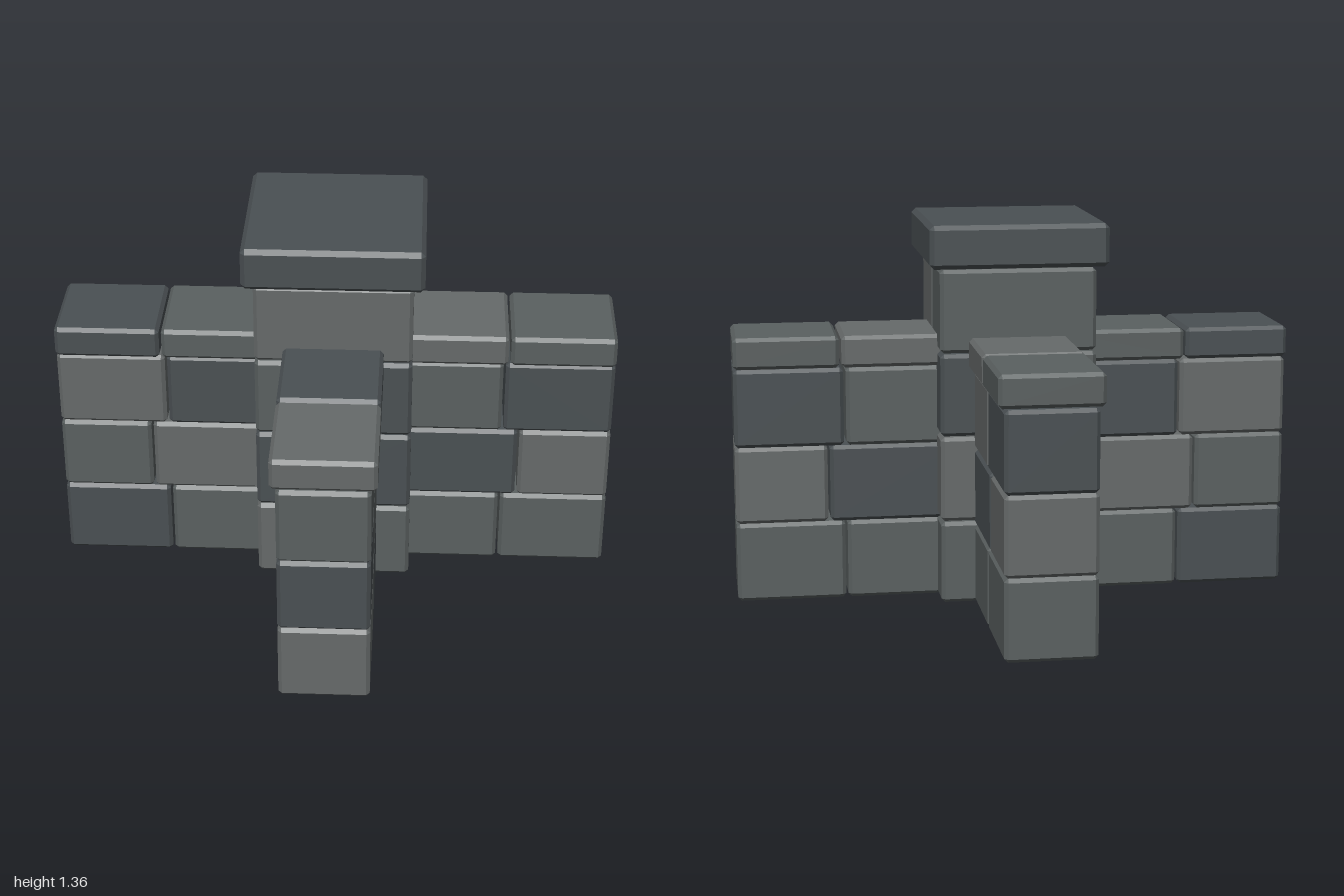
import * as THREE from 'three';
import { ConvexGeometry } from 'three/addons/geometries/ConvexGeometry.js';

const stone = (color) => new THREE.MeshStandardMaterial({ color, flatShading: true });
const MATERIALS = { L: stone(0x666a6a), M: stone(0x5a6060), D: stone(0x4a5053) };

// Block with chamfered edges, spanning min to max
function block(name, tone, min, max, bevel = 0.013) {
  const c = min.map((v, i) => (v + max[i]) / 2);
  const h = min.map((v, i) => (max[i] - v) / 2);
  const points = [];
  for (let axis = 0; axis < 3; axis++)
    for (const sx of [-1, 1]) for (const sy of [-1, 1]) for (const sz of [-1, 1]) {
      const p = [sx, sy, sz].map((s, i) => s * (h[i] - (i === axis ? 0 : bevel)));
      points.push(new THREE.Vector3(...p));
    }
  const mesh = new THREE.Mesh(new ConvexGeometry(points), MATERIALS[tone]);
  mesh.name = name;
  mesh.position.set(...c);
  return mesh;
}

// Courses of a wall arm: bottom, top, joint position, half thickness
const COURSES = [
  [0, 0.285, 0.607, 0.157],
  [0.285, 0.562, 0.667, 0.157],
  [0.562, 0.843, 0.607, 0.157],
  [0.847, 0.96, 0.622, 0.177],
];

// Wall arm along +x; tones list [outer, inner] for each course
function wallArm(name, tones, angle) {
  const arm = new THREE.Group();
  arm.name = name;
  COURSES.forEach(([y0, y1, joint, t], i) => {
    const part = i === 3 ? 'copingStone' : 'wallBrick';
    arm.add(block(part, tones[i][0], [joint + 0.004, y0, -t], [1, y1, t]));
    arm.add(block(part, tones[i][1], [0.2, y0, -t], [joint - 0.004, y1, t]));
  });
  arm.rotation.y = angle;
  return arm;
}

export function createModel() {
  const model = new THREE.Group();
  model.name = 'crossWall';

  // Four wall arms
  model.add(wallArm('leftWall', ['MM', 'LD', 'DM', 'ML'], 0));
  model.add(wallArm('backWall', ['MM', 'LD', 'DL', 'ML'], Math.PI / 2));
  model.add(wallArm('rightWall', ['DM', 'ML', 'LD', 'DM'], Math.PI));
  model.add(wallArm('frontWall', ['LD', 'DM', 'ML', 'LD'], -Math.PI / 2));

  // Central pillar: two blocks per course, joints alternating in direction
  const pillar = new THREE.Group();
  pillar.name = 'pillar';
  const r = 0.278;
  const levels = [0, 0.3, 0.608, 0.906, 1.205];
  ['LM', 'LD', 'MD', 'ML'].forEach((tones, i) => {
    const y0 = levels[i], y1 = levels[i + 1] - 0.004;
    const alongX = i % 2 === 0;
    const joint = alongX ? 0 : -0.02;
    [[-r, joint - 0.003], [joint + 0.003, r]].forEach(([a, b], k) => {
      const min = alongX ? [a, y0, -r] : [-r, y0, a];
      const max = alongX ? [b, y1, r] : [r, y1, b];
      pillar.add(block('pillarBlock', tones[k], min, max));
    });
  });
  pillar.add(block('capstone', 'D', [-0.317, 1.207, -0.317], [0.317, 1.36, 0.317], 0.016));
  model.add(pillar);

  return model;
}
